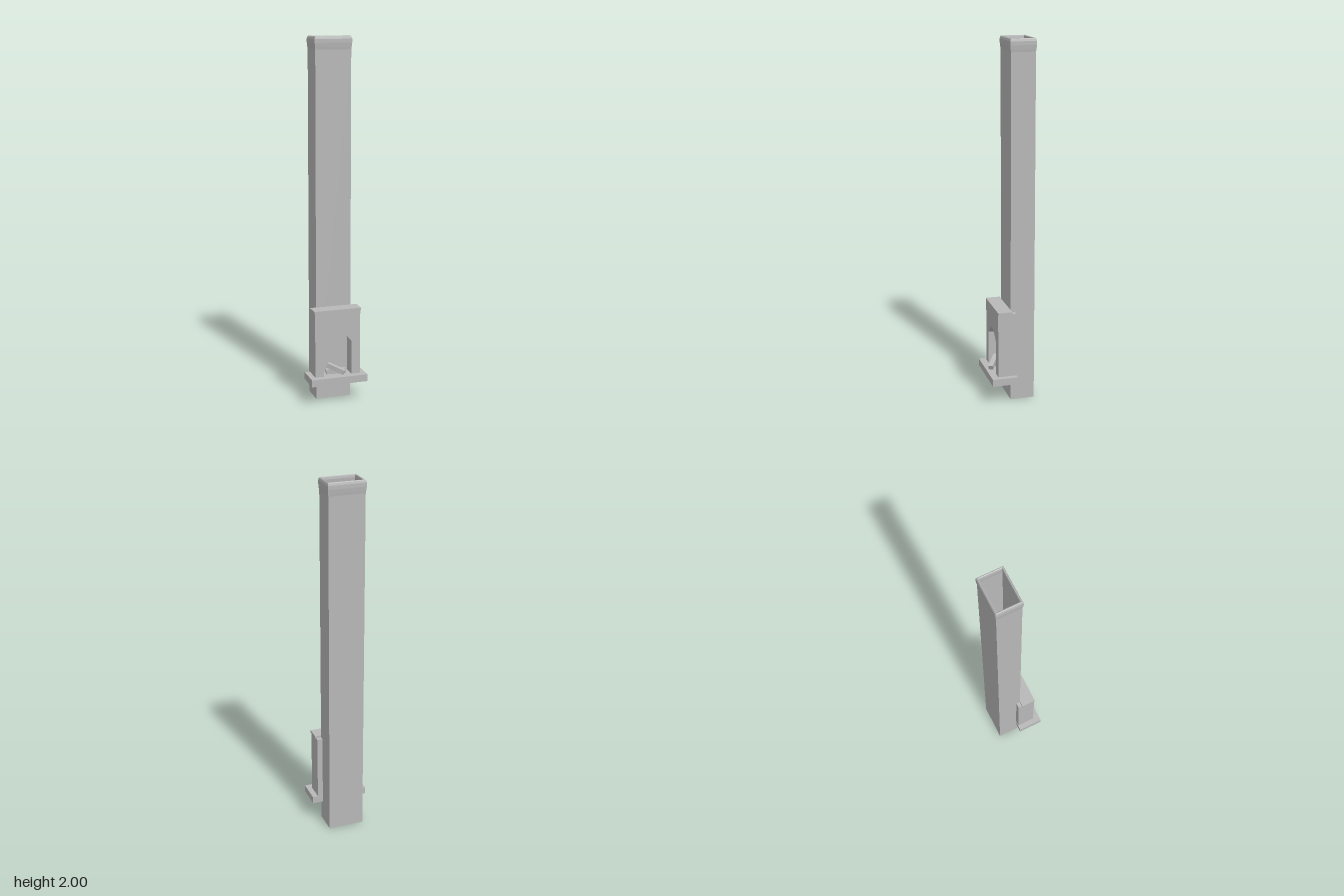
import * as THREE from 'three';

const stone = new THREE.MeshStandardMaterial({ color: 0xb8b8b8 });
stone.name = 'grey stone';

function add(group, name, geometry, x = 0, y = 0, z = 0) {
  const mesh = new THREE.Mesh(geometry, stone);
  mesh.name = name;
  mesh.position.set(x, y, z);
  group.add(mesh);
  return mesh;
}

// Box given by its lower and upper corners
function block(group, name, [x0, y0, z0], [x1, y1, z1]) {
  return add(group, name, new THREE.BoxGeometry(x1 - x0, y1 - y0, z1 - z0),
    (x0 + x1) / 2, (y0 + y1) / 2, (z0 + z1) / 2);
}

// Rectangular tube: sweeps a profile of [outward offset, height] round four sides
function rectangularTube(halfX, halfZ, profile) {
  const pos = [];
  const corners = [[-1, 1], [1, 1], [1, -1], [-1, -1]];
  const point = ([sx, sz], [o, y]) => [sx * (halfX + o), y, sz * (halfZ + o)];
  for (let i = 0; i < profile.length - 1; i++) {
    for (let k = 0; k < 4; k++) {
      const a = point(corners[k], profile[i]);
      const b = point(corners[(k + 1) % 4], profile[i]);
      const c = point(corners[(k + 1) % 4], profile[i + 1]);
      const d = point(corners[k], profile[i + 1]);
      pos.push(...a, ...b, ...c, ...a, ...c, ...d);
    }
  }
  const g = new THREE.BufferGeometry();
  g.setAttribute('position', new THREE.Float32BufferAttribute(pos, 3));
  g.computeVertexNormals();
  return g;
}

// Square log laid between two end points
function log(group, name, from, to, size) {
  const a = new THREE.Vector3(...from), b = new THREE.Vector3(...to);
  const mesh = add(group, name, new THREE.BoxGeometry(size, size, a.distanceTo(b)));
  mesh.position.copy(a).add(b).multiplyScalar(0.5);
  mesh.lookAt(b);
}

export function createModel() {
  const model = new THREE.Group();
  model.name = 'fireplace';

  // Tall hollow flue with a rounded lip at the top
  add(model, 'chimney', rectangularTube(0.1, 0.0675, [
    [-0.006, 0], [0, 0], [0, 1.93], [0.002, 1.945], [0.004, 1.965], [0.004, 1.985],
    [0.001, 1.996], [-0.003, 2], [-0.007, 1.997], [-0.009, 1.985], [-0.006, 1.95], [-0.006, 0],
  ]), 0, 0, -0.0575);
  block(model, 'chimneyFloor', [-0.095, 0.14, -0.12], [0.095, 0.155, 0.005]);

  // Hearth slab
  block(model, 'hearth', [-0.16, 0.115, -0.015], [0.16, 0.155, 0.127]);

  // Surround with a pointed arch opening
  const arch = new THREE.Shape();
  arch.moveTo(-0.13, 0.155);
  arch.lineTo(-0.08, 0.155);
  arch.lineTo(-0.08, 0.345);
  arch.quadraticCurveTo(-0.04, 0.395, 0, 0.4);
  arch.quadraticCurveTo(0.04, 0.395, 0.08, 0.345);
  arch.lineTo(0.08, 0.155);
  arch.lineTo(0.13, 0.155);
  arch.lineTo(0.13, 0.518);
  arch.lineTo(-0.13, 0.518);
  add(model, 'surround', new THREE.ExtrudeGeometry(arch,
    { depth: 0.08, bevelEnabled: false, curveSegments: 5 }), 0, 0, 0.009);

  // Side returns that wrap the flue
  for (const s of [-1, 1]) {
    const wing = block(model, s > 0 ? 'leftReturn' : 'rightReturn',
      [0.1, 0.155, -0.013], [0.13, 0.518, 0.009]);
    wing.position.x *= s;
  }

  // Thin mantel shelf
  block(model, 'mantel', [-0.135, 0.518, 0.009], [0.135, 0.53, 0.09]);

  // Logs on the hearth
  log(model, 'backLog', [-0.055, 0.168, 0.045], [0.055, 0.17, 0.062], 0.026);
  log(model, 'leaningLog', [-0.05, 0.21, 0.055], [0.032, 0.174, 0.106], 0.026);

  return model;
}
